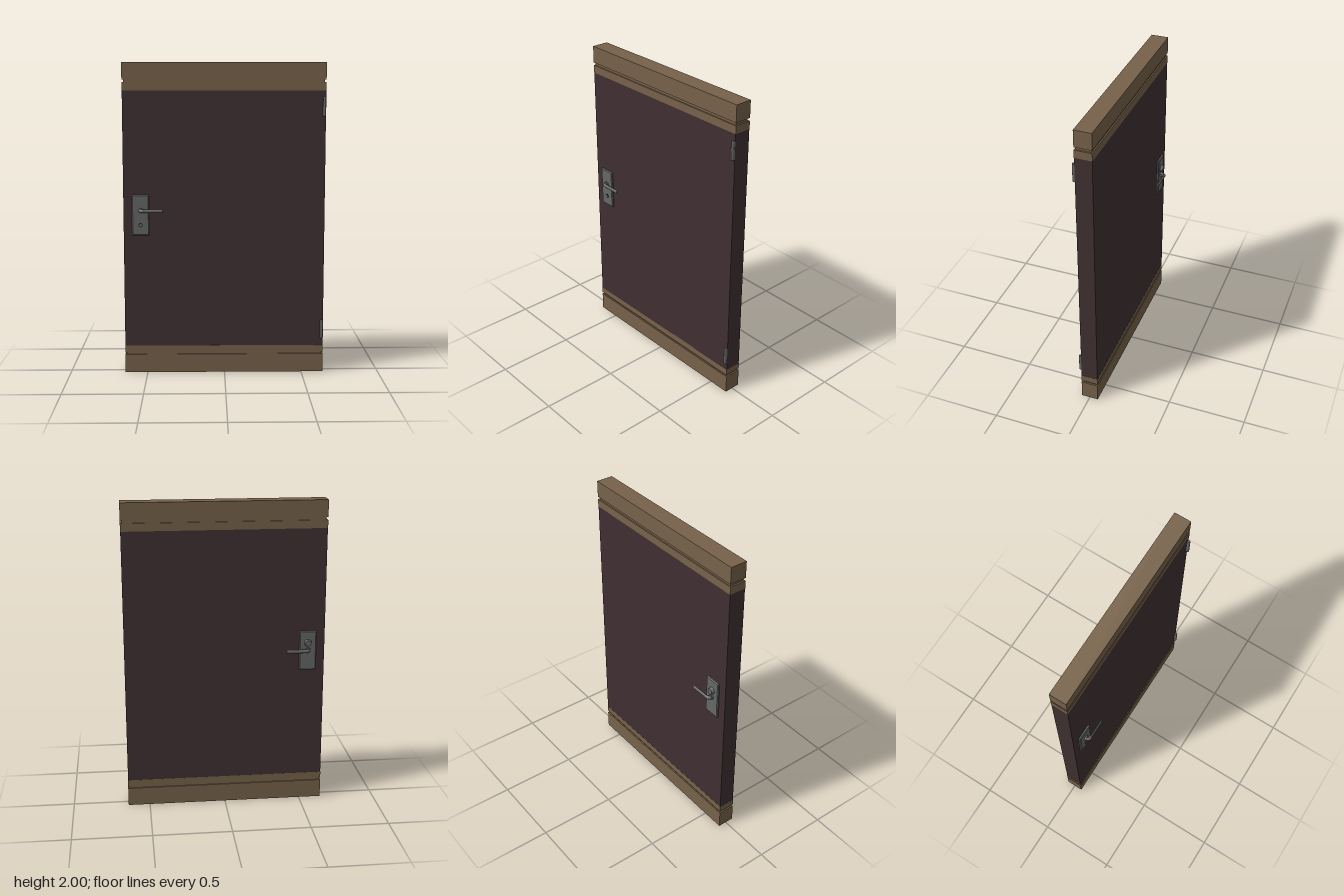
import * as THREE from 'three';

export function createModel() {
  const model = new THREE.Group();
  const material = (name, color) => Object.assign(new THREE.MeshStandardMaterial({ color }), { name });
  const wood = material('brown wood', 0x77624a);
  const dark = material('dark panel', 0x403032);
  const metal = material('grey metal', 0x666867);
  const shadow = material('dark slot', 0x252425);

  const add = (name, geometry, mat, x = 0, y = 0, z = 0, parent = model) => {
    const mesh = new THREE.Mesh(geometry, mat);
    mesh.name = name;
    mesh.position.set(x, y, z);
    parent.add(mesh);
    return mesh;
  };
  const slab = (name, y0, y1, mat, w = 1.286, d = 0.11) =>
    add(name, new THREE.BoxGeometry(w, y1 - y0, d), mat, -0.002, (y0 + y1) / 2, 0);

  // Door leaf: dark centre between grooved wooden rails
  slab('centrePanel', 0.178, 1.824, dark, 1.284, 0.108);
  slab('bottomRail', 0, 0.12, wood);
  slab('bottomGroove', 0.12, 0.134, wood, 1.266, 0.094);
  slab('bottomTrim', 0.134, 0.178, wood);
  slab('topTrim', 1.824, 1.874, wood);
  slab('topGroove', 1.874, 1.892, wood, 1.266, 0.094);
  slab('topRail', 1.892, 2, wood);

  // Disc facing outward along z
  const disc = (name, r0, r1, depth, mat, x, y, z, parent) => {
    const g = new THREE.CylinderGeometry(r1, r0, depth, 20);
    g.rotateX(Math.PI / 2);
    return add(name, g, mat, x, y, z, parent);
  };

  // Bevelled lock plates and bent levers on both faces
  function handle(name, side, leverY) {
    const group = new THREE.Group();
    group.name = name;
    model.add(group);

    const w = 0.049, h = 0.124;
    const outline = new THREE.Shape();
    outline.moveTo(-w, -h);
    outline.lineTo(w, -h);
    outline.lineTo(w, h);
    outline.lineTo(-w, h);
    outline.closePath();
    const plate = new THREE.ExtrudeGeometry(outline, {
      depth: 0.012, bevelEnabled: true, bevelSize: 0.005, bevelThickness: 0.005, bevelSegments: 1,
    });
    plate.translate(0, 0, -0.006);
    add('lockPlate', plate, metal, -0.535, 1.035, side * 0.056, group);

    disc('leverCollar', 0.018, 0.018, 0.012, metal, -0.535, leverY, side * 0.07, group);
    const path = new THREE.CurvePath();
    const v = (x, z) => new THREE.Vector3(x, leverY, side * z);
    path.add(new THREE.LineCurve3(v(-0.535, 0.05), v(-0.535, 0.078)));
    path.add(new THREE.QuadraticBezierCurve3(v(-0.535, 0.078), v(-0.535, 0.09), v(-0.52, 0.09)));
    path.add(new THREE.LineCurve3(v(-0.52, 0.09), v(-0.395, 0.09)));
    const lever = new THREE.TubeGeometry(path, 32, 0.012, 12);
    // Flatten the lever towards the door
    const p = lever.attributes.position;
    for (let i = 0; i < p.count; i++) {
      if (p.getX(i) > -0.51) p.setZ(i, side * 0.092 + (p.getZ(i) - side * 0.09) * 0.6);
    }
    lever.computeVertexNormals();
    add('lever', lever, metal, 0, 0, 0, group);
    const tip = add('leverTip', new THREE.SphereGeometry(0.012, 12, 8), metal, -0.395, leverY, side * 0.092, group);
    tip.scale.set(0.3, 1, 0.6);
    return group;
  }

  const front = handle('frontHandle', 1, 1.065);
  disc('lockCylinder', 0.014, 0.014, 0.008, shadow, -0.535, 0.972, 0.066, front);
  disc('lockCore', 0.009, 0.009, 0.004, metal, -0.535, 0.972, 0.069, front);

  const back = handle('backHandle', -1, 1.038);
  disc('thumbTurn', 0.019, 0.026, 0.024, metal, -0.535, 1.087, -0.072, back);

  // Hinges at the left front edge, with small end caps
  for (const y of [0.285, 1.722]) {
    const hinge = new THREE.Group();
    hinge.name = 'hinge';
    model.add(hinge);
    add('hingeLeaf', new THREE.BoxGeometry(0.018, 0.116, 0.01), metal, 0.631, y, 0.056, hinge);
    add('hingeBarrel', new THREE.CylinderGeometry(0.0095, 0.0095, 0.11, 14), metal, 0.63, y, 0.062, hinge);
    for (const s of [-1, 1]) {
      add('hingeCap', new THREE.CylinderGeometry(s > 0 ? 0.007 : 0.0095, s > 0 ? 0.0095 : 0.007, 0.005, 14),
        metal, 0.63, y + s * 0.0575, 0.062, hinge);
    }
  }
  return model;
}
